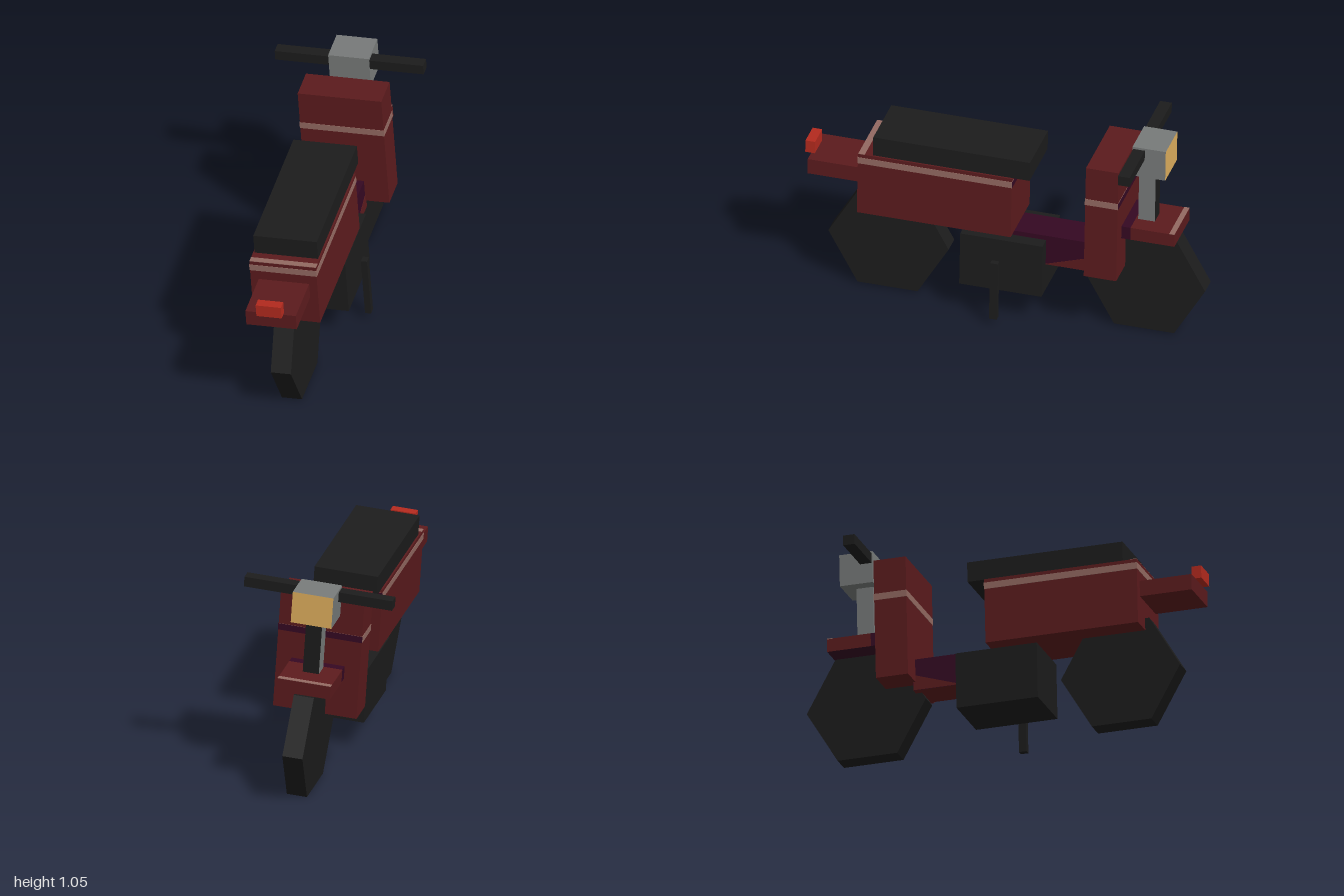
import * as THREE from 'three';

export function createModel() {
  const mat = (name, color) => {
    const m = new THREE.MeshStandardMaterial({ color });
    m.name = name;
    return m;
  };
  const red = mat('dark red paint', 0x5c1b1d);
  const purple = mat('dark purple paint', 0x350822);
  const black = mat('black rubber', 0x1c1c1c);
  const grey = mat('grey metal', 0x787b7a);
  const stripe = mat('pale stripe', 0x946a62);
  const tail = mat('tail light red', 0xb42a1e);
  const amber = mat('headlight amber', 0xe0b05e);

  // Face materials in the order +x, -x, +y, -y, +z, -z
  const withBack = (main, back) => [main, main, main, main, main, back];

  // The whole scooter leans on its side stand
  const bike = new THREE.Group();
  bike.name = 'leaningScooter';
  bike.rotation.z = 0.066;
  bike.position.set(0.07, 0.0033, 0);

  // Box given by its width about x and its y and z ranges
  const box = (name, m, width, [y0, y1], [z0, z1], x = 0) => {
    const mesh = new THREE.Mesh(new THREE.BoxGeometry(width, y1 - y0, z1 - z0), m);
    mesh.name = name;
    mesh.position.set(x, (y0 + y1) / 2, (z0 + z1) / 2);
    bike.add(mesh);
  };

  // Six-sided wheels
  for (const [name, z] of [['rearWheel', 0.58], ['frontWheel', -0.7]]) {
    const geo = new THREE.CylinderGeometry(0.3, 0.3, 0.1, 6).rotateZ(Math.PI / 2).toNonIndexed();
    geo.computeVertexNormals();
    const wheel = new THREE.Mesh(geo, black);
    wheel.name = name;
    wheel.position.set(0, 0.26, z);
    bike.add(wheel);
  }

  // Engine, side stand and seat
  box('engine', black, 0.31, [0.147, 0.427], [-0.215, 0.195]);
  box('sideStand', black, 0.03, [0.015, 0.325], [-0.011, 0.027], 0.199);
  box('seat', black, 0.315, [0.785, 0.885], [-0.145, 0.637]);

  // Purple floor with a red wedge painted low on each side
  box('floorBoard', [purple, purple, purple, red, purple, purple], 0.178, [0.292, 0.451], [-0.45, 0.1]);
  const wedge = new THREE.Shape([[0.21, 0.293], [0.449, 0.293], [0.449, 0.372]].map(p => new THREE.Vector2(...p)));
  const wedgeGeo = new THREE.ExtrudeGeometry(wedge, { depth: 0.002, bevelEnabled: false }).rotateY(Math.PI / 2);
  for (const [name, x] of [['leftFloorWedge', 0.089], ['rightFloorWedge', -0.091]]) {
    const mesh = new THREE.Mesh(wedgeGeo, red);
    mesh.name = name;
    mesh.position.x = x;
    bike.add(mesh);
  }

  // Painted bodywork
  box('rearBody', red, 0.33, [0.458, 0.784], [-0.059, 0.709]);
  box('legShield', red, 0.415, [0.335, 0.939], [-0.6, -0.438]);
  box('fenderFront', [red, red, red, purple, red, red], 0.264, [0.533, 0.599], [-0.865, -0.645]);
  box('fenderRear', purple, 0.264, [0.533, 0.599], [-0.645, -0.53]);
  box('tailPiece', red, 0.25, [0.605, 0.684], [0.65, 0.97]);

  // Stripes, standing just clear of the paint
  box('bodyStripe', withBack(stripe, purple), 0.334, [0.733, 0.766], [-0.061, 0.711]);
  box('bodyTopStripe', stripe, 0.33, [0.782, 0.786], [0.676, 0.708]);
  box('shieldStripe', withBack(stripe, purple), 0.419, [0.734, 0.767], [-0.602, -0.436]);
  box('fenderStripe', stripe, 0.264, [0.597, 0.601], [-0.864, -0.838]);

  // Steering and lights
  box('steeringStem', withBack(grey, black), 0.08, [0.55, 0.9], [-0.74, -0.657]);
  box('headlightHousing', withBack(grey, amber), 0.202, [0.874, 1.034], [-0.804, -0.638]);
  box('handlebar', black, 0.736, [0.973, 1.023], [-0.7, -0.642]);
  box('tailLight', tail, 0.125, [0.684, 0.747], [0.952, 1.0]);

  const model = new THREE.Group();
  model.name = 'scooter';
  model.add(bike);
  return model;
}
